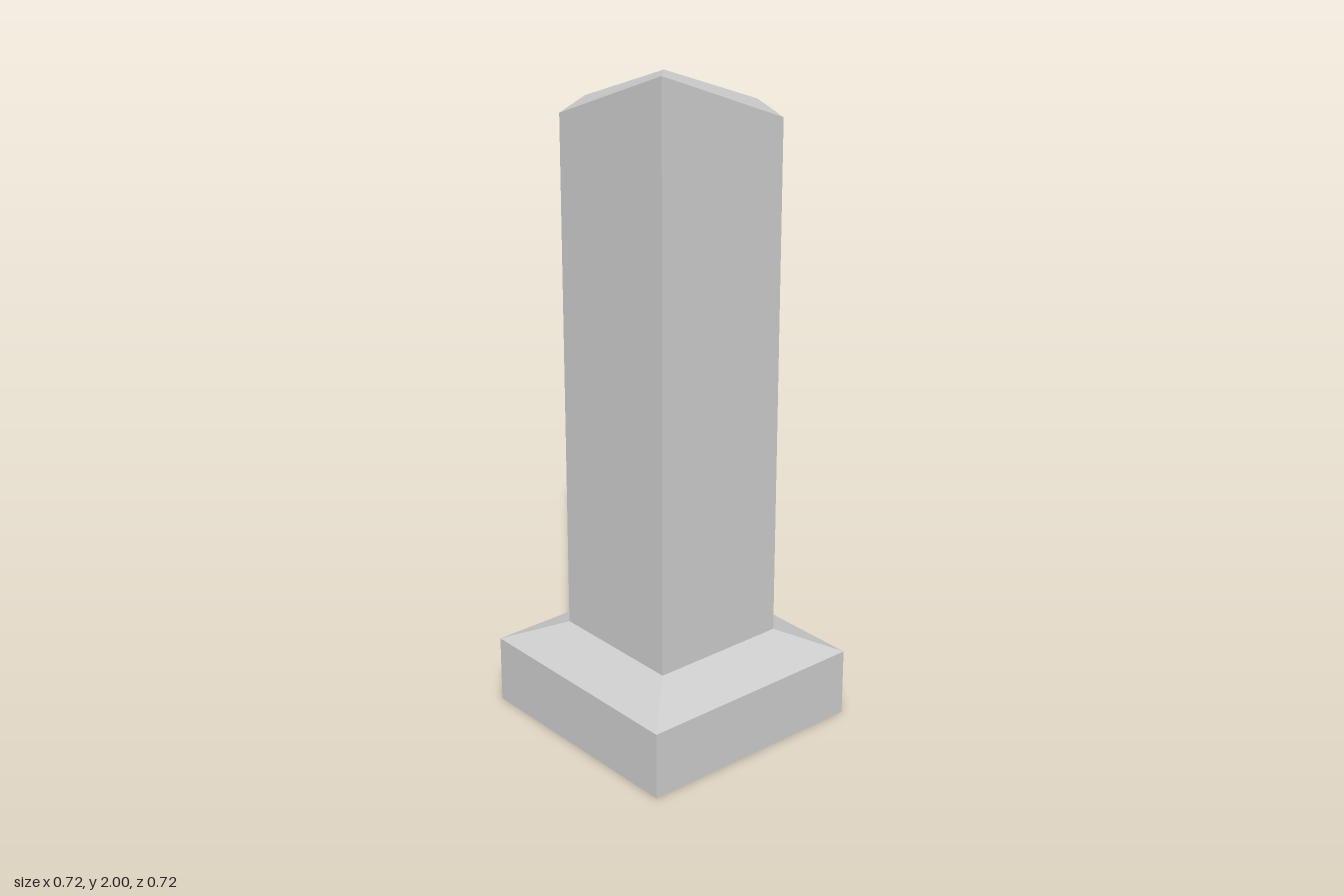
import * as THREE from 'three';

// Square ring with its own height at each corner:
// front right, front left, back left, back right (counterclockwise from above)
const ring = (half, h) => {
  const y = Array.isArray(h) ? h : [h, h, h, h];
  return [[-half, y[0], half], [half, y[1], half], [half, y[2], -half], [-half, y[3], -half]];
};

// Flat-faced skin through a list of rings, with optional end caps
function loft(name, rings, material, { bottom = false, top = false } = {}) {
  const pos = [];
  const tri = (...pts) => pts.forEach((p) => pos.push(...p));
  for (let r = 0; r < rings.length - 1; r++) {
    const a = rings[r], b = rings[r + 1];
    for (let i = 0; i < 4; i++) {
      const j = (i + 1) % 4;
      tri(a[i], a[j], b[j]);
      tri(a[i], b[j], b[i]);
    }
  }
  if (bottom) {
    const [a, b, c, d] = rings[0];
    tri(a, d, c);
    tri(a, c, b);
  }
  if (top) {
    const [a, b, c, d] = rings[rings.length - 1];
    tri(a, b, d);
    tri(b, c, d);
  }
  const geometry = new THREE.BufferGeometry();
  geometry.setAttribute('position', new THREE.Float32BufferAttribute(pos, 3));
  geometry.computeVertexNormals();
  const mesh = new THREE.Mesh(geometry, material);
  mesh.name = name;
  return mesh;
}

export function createModel() {
  const stone = new THREE.MeshStandardMaterial({ color: 0xcccccc });
  stone.name = 'light stone';
  const dark = new THREE.MeshStandardMaterial({ color: 0x6c6c6c });
  dark.name = 'dark stone';

  // Slanted cut at the top of the shaft, stepping inward
  const outer = ring(0.214, [2.0, 1.82, 1.44, 1.82]);
  const rim = ring(0.164, [2.0, 1.87, 1.57, 1.87]);
  const lip = ring(0.11, [1.88, 1.8, 1.62, 1.8]);
  const floor = ring(0.069, [1.78, 1.73, 1.64, 1.73]);

  const group = new THREE.Group();
  group.name = 'slantedPillar';
  group.add(
    // Square plinth with sloping shoulders
    loft('plinth', [ring(0.362, 0), ring(0.362, 0.205), ring(0.214, 0.272)], stone, { bottom: true }),
    loft('shaft', [ring(0.214, 0.272), outer], stone),
    // Bevelled rim and the funnel inside it
    loft('rim', [outer, rim, lip], stone),
    loft('hollow', [lip, floor], dark, { top: true }),
  );
  return group;
}
